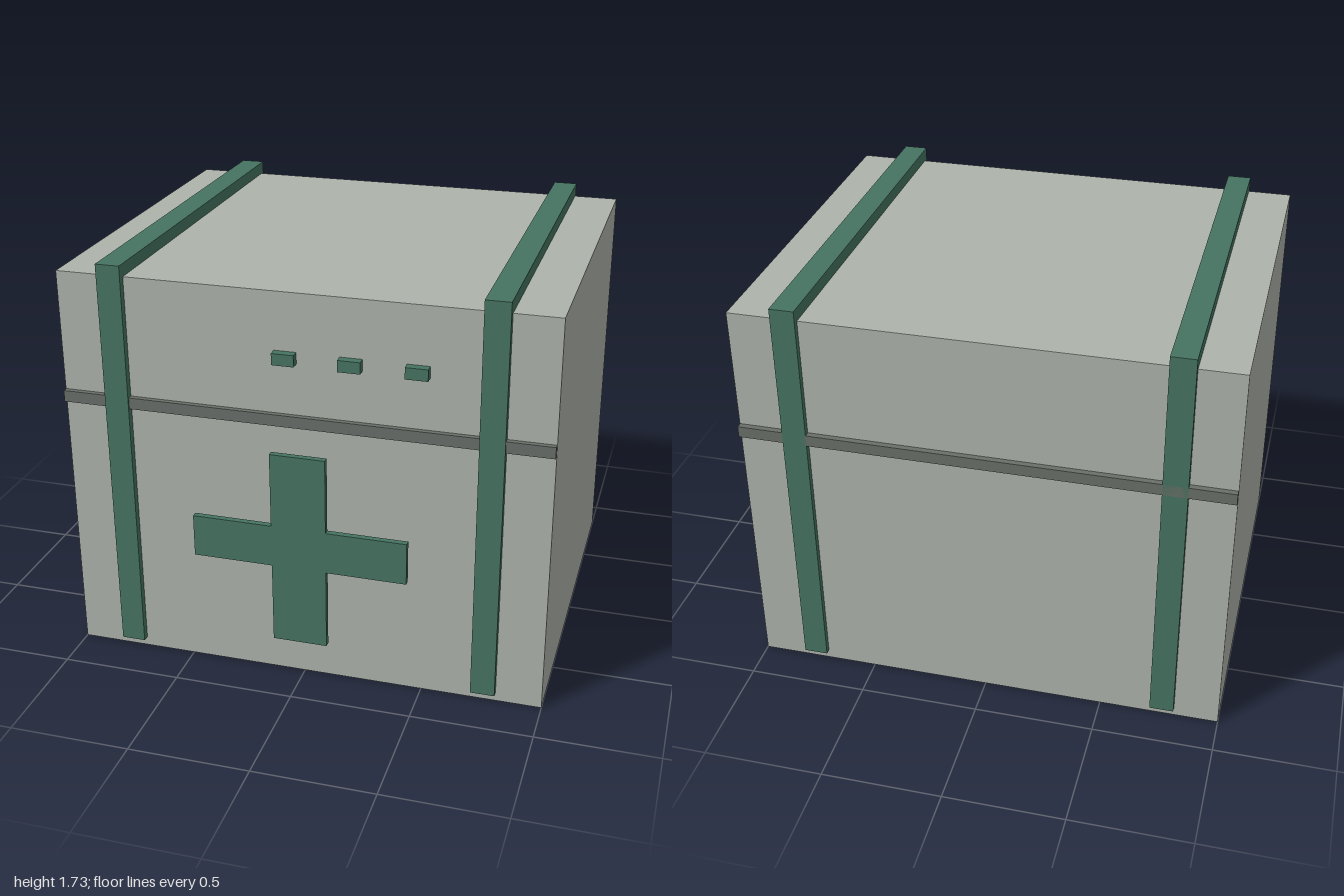
import * as THREE from 'three';

const paint = (color) => new THREE.MeshStandardMaterial({ color });
const shellPaint = paint(0xaeb3ab);
const bandPaint = paint(0x6a6f69);
const greenPaint = paint(0x467361);

// Box given by its minimum and maximum corners
function block(name, material, [x0, y0, z0], [x1, y1, z1]) {
  const mesh = new THREE.Mesh(new THREE.BoxGeometry(x1 - x0, y1 - y0, z1 - z0), material);
  mesh.position.set((x0 + x1) / 2, (y0 + y1) / 2, (z0 + z1) / 2);
  mesh.name = name;
  return mesh;
}

// Outline in a plane, extruded by depth
function plate(name, material, points, depth) {
  const shape = new THREE.Shape(points.map(([x, y]) => new THREE.Vector2(x, y)));
  const mesh = new THREE.Mesh(new THREE.ExtrudeGeometry(shape, { depth, bevelEnabled: false }), material);
  mesh.name = name;
  return mesh;
}

export function createModel() {
  const model = new THREE.Group();
  model.name = 'medicalCrate';

  // Crate body and the seam band below the lid
  model.add(block('body', shellPaint, [-1, 0, -0.835], [1, 1.675, 0.8]));
  model.add(block('lidBand', bandPaint, [-0.999, 1.125, -0.86], [0.999, 1.173, 0.822]));

  // Straps running up the front, over the top and down the back
  const strapOutline = [
    [-0.83, 0.04], [-0.83, 1.727], [0.86, 1.727], [0.86, 0.04],
    [0.835, 0.04], [0.835, 1.675], [-0.8, 1.675], [-0.8, 0.04],
  ];
  for (const [name, x] of [['rightStrap', -0.815], ['leftStrap', 0.711]]) {
    const strap = plate(name, greenPaint, strapOutline, 0.1);
    strap.rotation.y = Math.PI / 2; // outline x becomes -z, depth becomes +x
    strap.position.x = x;
    model.add(strap);
  }

  // Raised cross on the front
  const cross = plate('cross', greenPaint, [
    [-0.115, 0.175], [0.113, 0.175], [0.113, 0.52], [0.445, 0.52], [0.445, 0.7], [0.113, 0.7],
    [0.113, 1.018], [-0.115, 1.018], [-0.115, 0.7], [-0.448, 0.7], [-0.448, 0.52], [-0.115, 0.52],
  ], 0.026);
  cross.position.z = 0.834;
  model.add(cross);

  // Three small studs on the lid front
  [-0.06, 0.203, 0.466].forEach((x, i) => {
    model.add(block(`stud${i + 1}`, greenPaint, [x - 0.045, 1.387, 0.8], [x + 0.045, 1.435, 0.836]));
  });

  return model;
}
